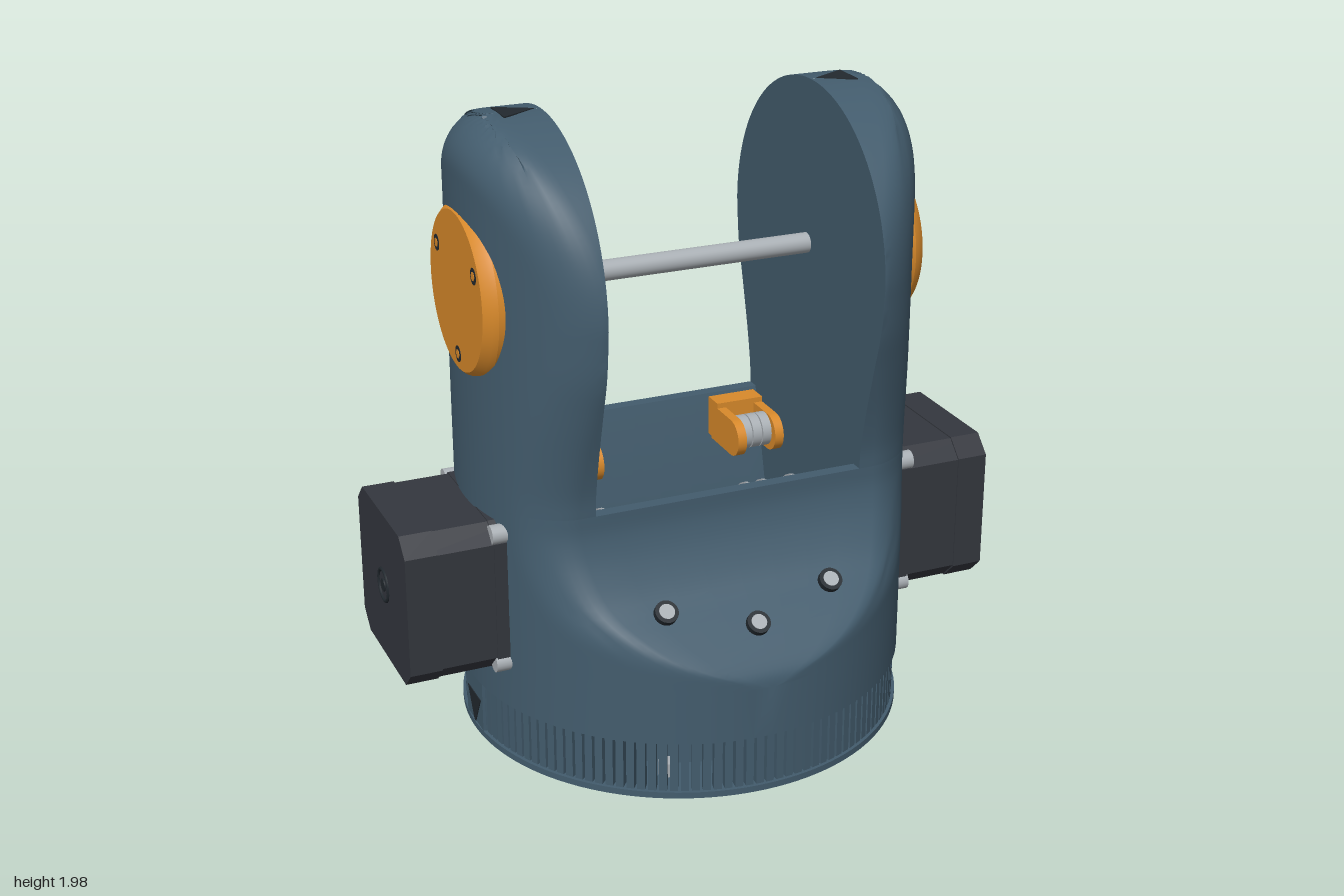
import * as THREE from 'three';
import { mergeGeometries, toCreasedNormals } from 'three/addons/utils/BufferGeometryUtils.js';

const mat = (color) => new THREE.MeshStandardMaterial({ color });
const BLUE = mat(0x435c6d), ORANGE = mat(0xd98a2b), DARK = mat(0x34373e), STEEL = mat(0xaab0b5), BLACK = mat(0x22292f);
const R = 0.7, INNER = 0.43, TURN = 0.37, AXLE_Y = 1.465;

function add(parent, name, geo, material, x = 0, y = 0, z = 0) {
  const m = new THREE.Mesh(geo, material);
  m.name = name;
  m.position.set(x, y, z);
  parent.add(m);
  return m;
}
const cylX = (r0, r1, len, seg = 32) => new THREE.CylinderGeometry(r0, r1, len, seg).rotateZ(-Math.PI / 2);

// Skin closed loops of equal length, given bottom to top
function loft(rings) {
  const n = rings[0].length, index = [];
  for (let i = 0; i < rings.length - 1; i++) for (let j = 0; j < n; j++) {
    const a = i * n + j, b = i * n + (j + 1) % n;
    index.push(a, a + n, b, b, a + n, b + n);
  }
  const g = new THREE.BufferGeometry();
  g.setAttribute('position', new THREE.Float32BufferAttribute(rings.flat(2), 3));
  g.setIndex(index);
  return toCreasedNormals(g, 0.6);
}

// Side outline of the housing: half width (x) against height (y)
const spline = (pts, n) => new THREE.SplineCurve(pts.map(p => new THREE.Vector2(...p))).getPoints(n);
const lower = [new THREE.Vector2(0.7, 0.2), ...spline([[0.7, 0.36], [0.69, 0.4], [0.65, 0.45], [0.575, 0.52],
  [0.485, 0.6], [0.425, 0.7], [0.395, 0.79], [0.39, 0.86]], 28)];
const upper = spline([[0.39, 0.86], [0.395, 0.93], [0.42, 1.05], [0.46, 1.2], [0.495, 1.33], [0.51, 1.47]], 20);
for (let i = 1; i <= 32; i++) {
  const a = i / 32 * Math.PI / 2;
  upper.push(new THREE.Vector2(Math.max(0.0005, 0.51 * Math.cos(a)), 1.47 + 0.51 * Math.sin(a)));
}
const outline = [...lower, ...upper];

// Outer surface: a cylinder whose edge is rounded near the outline
function outerX(z, y) {
  const az = Math.abs(z);
  let d = 1;
  for (const p of outline) d = Math.min(d, Math.hypot(p.x - az, p.y - y));
  const r = 0.15 * Math.max(0, 1 - (z / R) ** 2);
  const cut = d < r ? r - Math.sqrt(r * r - (r - d) ** 2) : 0;
  return Math.sqrt(Math.max(0, R * R - z * z)) - cut;
}
const N = 36, US = Array.from({ length: N + 1 }, (_, i) => Math.sin((i / N - 0.5) * Math.PI));

function bodyRing(w, y, xOf) {
  const side = US.map(u => [xOf(u * w), y, u * w]), e = side[N][0], front = [];
  for (let i = 1; i < 8; i++) front.push([e * (1 - i / 4), y, w]);
  const half = [...side, ...front];
  return [...half, ...half.map(([x, yy, z]) => [-x, yy, -z])];
}

function makeHousing(g) {
  // Lower body with a sloping well
  const rings = lower.map(p => bodyRing(p.x, p.y, z => outerX(z, p.y)));
  rings.push(bodyRing(0.35, 0.86, () => INNER), bodyRing(0.19, 0.25, () => INNER),
    bodyRing(0.19, 0.2, () => INNER), rings[0]);
  add(g, 'lowerHousing', loft(rings), BLUE);
  // Pair of upright arms
  const armRings = upper.map(p => {
    const outer = US.map(u => [Math.max(INNER + 0.001, outerX(u * p.x, p.y)), p.y, u * p.x]);
    return [...outer, ...[...US].reverse().map(u => [INNER, p.y, u * p.x])];
  });
  const armGeo = loft(armRings);
  for (const side of [0, 1]) add(g, side ? 'rightArm' : 'leftArm', armGeo, BLUE).rotation.y = side * Math.PI;
}

function makeBase(g) {
  // Floor plate and hub with four rounded openings
  const disc = (radius, depth) => {
    const s = new THREE.Shape().absarc(0, 0, radius, 0, Math.PI * 2);
    for (let k = 0; k < 4; k++) {
      const pts = [[0.14, 0], [0.2, 0.1], [0.34, 0.21], [0.43, 0.18], [0.47, 0], [0.43, -0.18], [0.34, -0.21], [0.2, -0.1]]
        .map(([x, y]) => new THREE.Vector3(x, y, 0).applyAxisAngle(new THREE.Vector3(0, 0, 1), k * Math.PI / 2));
      const c = new THREE.CatmullRomCurve3(pts, true).getPoints(48);
      s.holes.push(new THREE.Path(c.map(p => new THREE.Vector2(p.x, p.y))));
    }
    return toCreasedNormals(new THREE.ExtrudeGeometry(s, { depth, bevelEnabled: false, curveSegments: 64 })
      .rotateX(-Math.PI / 2), 0.6);
  };
  add(g, 'floorPlate', disc(0.66, 0.02), BLUE).rotation.y = TURN;
  add(g, 'floorFlange', disc(R, 0.02), BLUE, 0, 0.015).rotation.y = TURN;
  add(g, 'floorHub', disc(0.53, 0.07), BLUE, 0, 0.03).rotation.y = TURN;
  add(g, 'centreBolt', new THREE.CylinderGeometry(0.03, 0.03, 0.12, 24), STEEL, 0, 0.059);
  add(g, 'centreBoss', new THREE.CylinderGeometry(0.06, 0.06, 0.02, 32), BLUE, 0, 0.108);
  // Slotted vent ring
  const bars = [], count = 132;
  for (let i = 0; i < count; i++)
    bars.push(new THREE.BoxGeometry(0.03, 0.17, 0.024).translate(0.675, 0.117, 0).rotateY(i / count * Math.PI * 2));
  add(g, 'ventRing', mergeGeometries(bars), BLUE);
}

const triangle = () => {
  const s = new THREE.Shape([[-0.05, 0.06], [-0.05, -0.06], [0.06, 0]].map(p => new THREE.Vector2(...p)));
  return new THREE.ExtrudeGeometry(s, { depth: 0.004, bevelEnabled: false });
};

// Everything on one side; the other side is the mirror image
function makeSide(g, s) {
  // Motor with cut corners
  const h = 0.245, c = 0.19;
  const oct = new THREE.Shape([[h, -c], [h, c], [c, h], [-c, h], [-h, c], [-h, -c], [-c, -h], [c, -h]]
    .map(p => new THREE.Vector2(...p)));
  const block = (len, k) => new THREE.ExtrudeGeometry(oct, { depth: len, bevelEnabled: false })
    .translate(0, 0, -len / 2).scale(k, k, 1).rotateY(Math.PI / 2);
  const motor = new THREE.Group();
  motor.name = 'motor';
  motor.position.y = 0.565;
  g.add(motor);
  add(motor, 'motorCore', block(0.41, 0.985), DARK, s * 0.75);
  add(motor, 'motorEndCap', block(0.1, 1), DARK, s * 0.917);
  add(motor, 'motorFlange', block(0.07, 1), DARK, s * 0.66);
  add(motor, 'motorBearingRim', new THREE.TorusGeometry(0.05, 0.006, 8, 32).rotateY(Math.PI / 2), BLACK, s * 0.967);
  add(motor, 'motorBearing', cylX(0.02, 0.02, 0.01), BLACK, s * 0.966);
  for (const a of [-1, 1]) for (const b of [-1, 1])
    add(motor, 'motorBolt', cylX(0.03, 0.03, 0.12, 20), STEEL, s * 0.64, a * 0.212, b * 0.222);
  // Shaft and toothed pulley
  add(motor, 'motorShaft', cylX(0.03, 0.03, 0.26), STEEL, s * 0.34);
  add(motor, 'pulley', cylX(0.09, 0.09, 0.17), STEEL, s * 0.335);
  for (const x of [0.25, 0.31, 0.41]) add(motor, 'pulleyFlange', cylX(0.112, 0.112, 0.012), STEEL, s * x);
  for (let i = 0; i < 18; i++) {
    const a = i / 18 * Math.PI * 2;
    add(motor, 'pulleyTooth', new THREE.BoxGeometry(0.1, 0.018, 0.014).rotateX(-a), STEEL,
      s * 0.36, 0.092 * Math.cos(a), -0.092 * Math.sin(a));
  }
  // Belt tensioner
  for (const x of [0.245, 0.375]) {
    add(g, 'tensionerCheek', new THREE.BoxGeometry(0.03, 0.12, 0.15), ORANGE, s * x, 0.8, -0.185);
    add(g, 'tensionerNose', cylX(0.06, 0.06, 0.03), ORANGE, s * x, 0.8, -0.11);
  }
  add(g, 'tensionerBridge', new THREE.BoxGeometry(0.16, 0.13, 0.07), ORANGE, s * 0.31, 0.812, -0.25);
  for (const x of [0.276, 0.31, 0.344]) add(g, 'tensionerRoller', cylX(0.055, 0.055, 0.03), STEEL, s * x, 0.805, -0.13);
  add(g, 'tensionerScrew', new THREE.CylinderGeometry(0.02, 0.02, 0.24, 20).rotateX(Math.PI / 2), ORANGE, s * 0.32, 0.8, -0.28);
  // Round bearing cover with three bolt holes
  const cover = new THREE.Group();
  cover.name = 'bearingCover';
  cover.position.set(0, AXLE_Y, 0);
  g.add(cover);
  const disc = new THREE.LatheGeometry([[0, 0.55], [0.27, 0.55], [0.27, 0.665], [0.262, 0.682], [0.24, 0.704], [0, 0.704]]
    .map(p => new THREE.Vector2(...p)), 64).rotateZ(-Math.PI / 2);
  add(cover, 'coverDisc', toCreasedNormals(disc, 0.4), ORANGE).rotation.y = s > 0 ? 0 : Math.PI;
  for (const a of [30, 150, 270].map(THREE.MathUtils.degToRad)) {
    const y = 0.195 * Math.sin(a), z = 0.195 * Math.cos(a);
    add(cover, 'coverHole', cylX(0.025, 0.025, 0.02, 20), BLACK, s * 0.695, y, z);
    add(cover, 'coverBolt', cylX(0.014, 0.014, 0.02, 6), ORANGE, s * 0.697, y, z);
  }
  // Alignment marks on arm top and base
  const top = add(g, 'armMark', triangle().rotateX(-Math.PI / 2), BLACK, s * 0.51, 1.978, 0);
  top.rotation.y = s > 0 ? Math.PI : 0;
  add(g, 'basePanel', new THREE.BoxGeometry(0.045, 0.19, 0.15), BLUE, s * 0.673, 0.125);
  add(g, 'baseMark', triangle().rotateZ(-Math.PI / 2).rotateY(s * Math.PI / 2), BLACK, s * 0.694, 0.085);
  // Shoulder screws and the matching floor screws
  for (const a of [-0.47, 0, 0.47]) {
    const x = s * 0.592 * Math.sin(a), z = s * 0.592 * Math.cos(a);
    const y = lower.find(p => p.x <= Math.abs(z)).y;
    const hole = add(g, 'shoulderHole', new THREE.CylinderGeometry(0.036, 0.036, 0.02, 24), BLACK, x, y, z);
    hole.rotation.x = s * 0.7;
    const head = add(g, 'shoulderScrew', new THREE.CylinderGeometry(0.024, 0.024, 0.024, 24), STEEL, x, y, z);
    head.rotation.x = s * 0.7;
    add(g, 'floorScrew', new THREE.CylinderGeometry(0.025, 0.025, 0.06, 16), STEEL, x, 0.05, z);
  }
}

export function createModel() {
  const model = new THREE.Group(), g = new THREE.Group();
  model.name = 'motorisedYoke';
  g.name = 'yokeAssembly';
  g.rotation.y = -TURN;
  model.add(g);
  makeHousing(g);
  makeBase(g);
  for (const s of [1, -1]) makeSide(g, s);
  add(g, 'axleRod', cylX(0.032, 0.032, 0.9), STEEL, 0, AXLE_Y, 0);
  return model;
}
